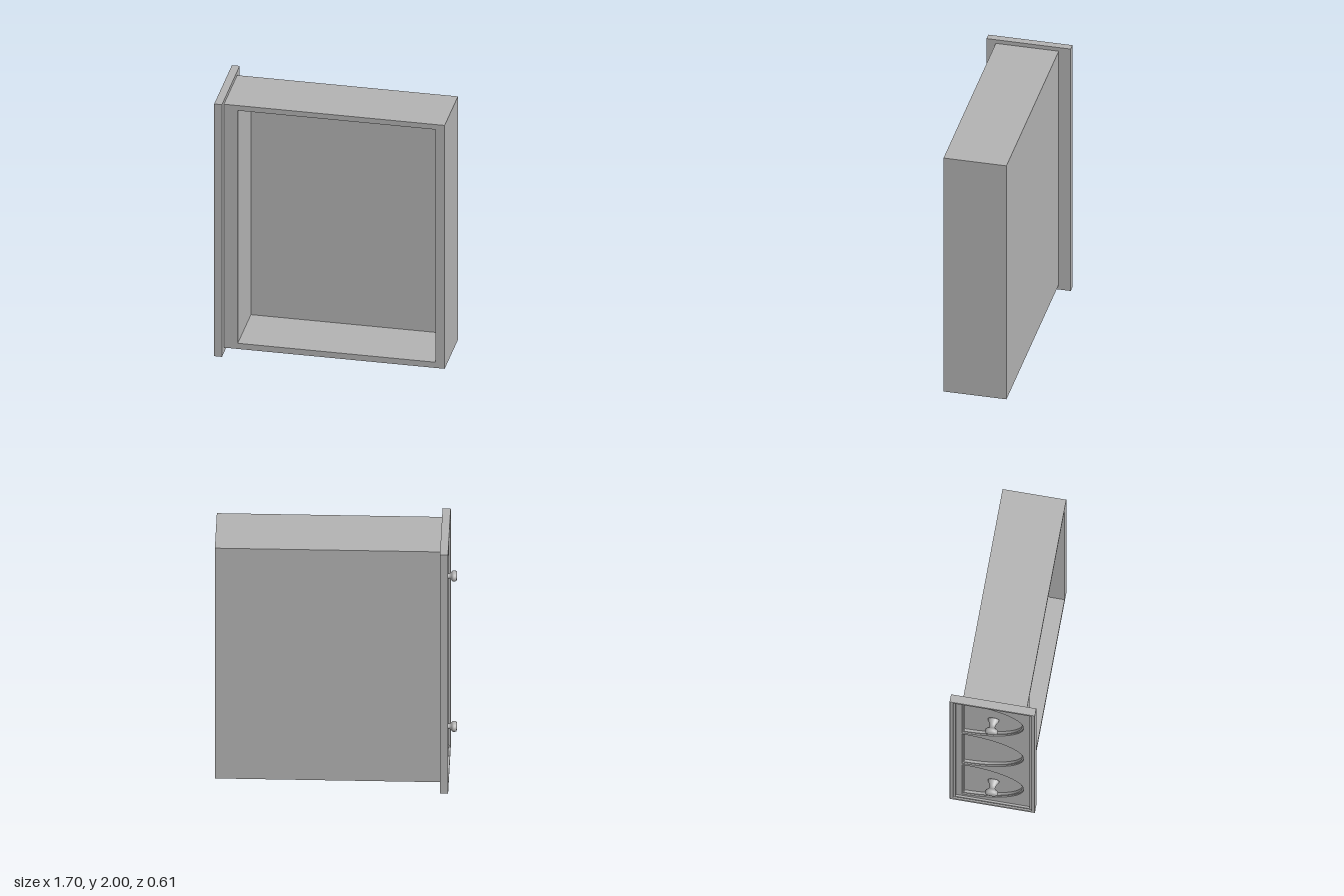
import * as THREE from 'three';

const grey = new THREE.MeshStandardMaterial({ color: 0xb4b4b4 });
grey.name = 'plain grey';

const CENTRES = [0.37, 1.0, 1.63]; // heights of the three carved arches

function trace(path, u0, u1, v0, v1) {
  path.moveTo(u0, v0);
  path.lineTo(u1, v0);
  path.lineTo(u1, v1);
  path.lineTo(u0, v1);
  path.closePath();
  return path;
}

// Half-ellipse arch with its flat base at low z
function arch(cy, inset) {
  const p = new THREE.Path();
  p.absellipse(-0.22 + inset, cy, 0.44 - 2 * inset, 0.3 - inset, -Math.PI / 2, Math.PI / 2, false, 0);
  p.closePath();
  return p;
}

export function createModel() {
  const model = new THREE.Group();
  model.name = 'drawer';

  const add = (name, geometry) => {
    const mesh = new THREE.Mesh(geometry, grey);
    mesh.name = name;
    model.add(mesh);
    return mesh;
  };

  // One layer of the front panel, drawn in (z, y) and extruded from x0 towards -x
  const layer = (name, holes, x0, x1, bevel = 0) => {
    const shape = trace(new THREE.Shape(), -0.305, 0.305, 0, 2);
    shape.holes.push(...holes);
    const g = new THREE.ExtrudeGeometry(shape, {
      depth: x0 - x1 - 2 * bevel, curveSegments: 32, bevelEnabled: bevel > 0,
      bevelSize: bevel, bevelThickness: bevel, bevelOffset: -bevel, bevelSegments: 2,
    });
    g.translate(0, 0, bevel);
    g.rotateY(-Math.PI / 2);
    g.translate(x0, 0, 0);
    add(name, g);
  };

  // Drawer box: four walls, open towards +z, with a thin bottom
  const walls = trace(new THREE.Shape(), -0.74, 0.85, 0.04, 1.97);
  walls.holes.push(trace(new THREE.Path(), -0.64, 0.785, 0.085, 1.93));
  const wallGeometry = new THREE.ExtrudeGeometry(walls, { depth: 0.45, bevelEnabled: false });
  wallGeometry.translate(0, 0, -0.212);
  add('boxWalls', wallGeometry);

  const bottom = new THREE.BoxGeometry(1.59, 1.93, 0.006);
  bottom.translate(0.055, 1.005, -0.215);
  add('boxBottom', bottom);

  // Front panel: stepped arches, then a stepped frame
  layer('innerArchPanel', CENTRES.map((y) => arch(y, 0.012)), -0.74, -0.76);
  layer('outerArchPanel', CENTRES.map((y) => arch(y, 0)), -0.76, -0.77);
  layer('innerFrame', [trace(new THREE.Path(), -0.265, 0.265, 0.04, 1.96)], -0.77, -0.785);
  layer('outerFrame', [trace(new THREE.Path(), -0.28, 0.28, 0.025, 1.975)], -0.776, -0.798, 0.005);

  // Two turned knobs, slightly wider across z
  const profile = [
    [0, 0], [0.9, 0], [0.9, 0.008], [0.7, 0.025], [0.48, 0.045], [0.45, 0.06],
    [0.65, 0.072], [0.95, 0.08], [1, 0.088], [1, 0.1], [0.9, 0.109], [0.6, 0.113], [0, 0.114],
  ].map(([r, h]) => new THREE.Vector2(r, h));
  const knob = new THREE.LatheGeometry(profile, 24);
  knob.rotateZ(Math.PI / 2);
  knob.scale(1, 0.036, 0.045);
  for (const y of [CENTRES[0], CENTRES[2]]) add('knob', knob).position.set(-0.738, y, 0);

  return model;
}
